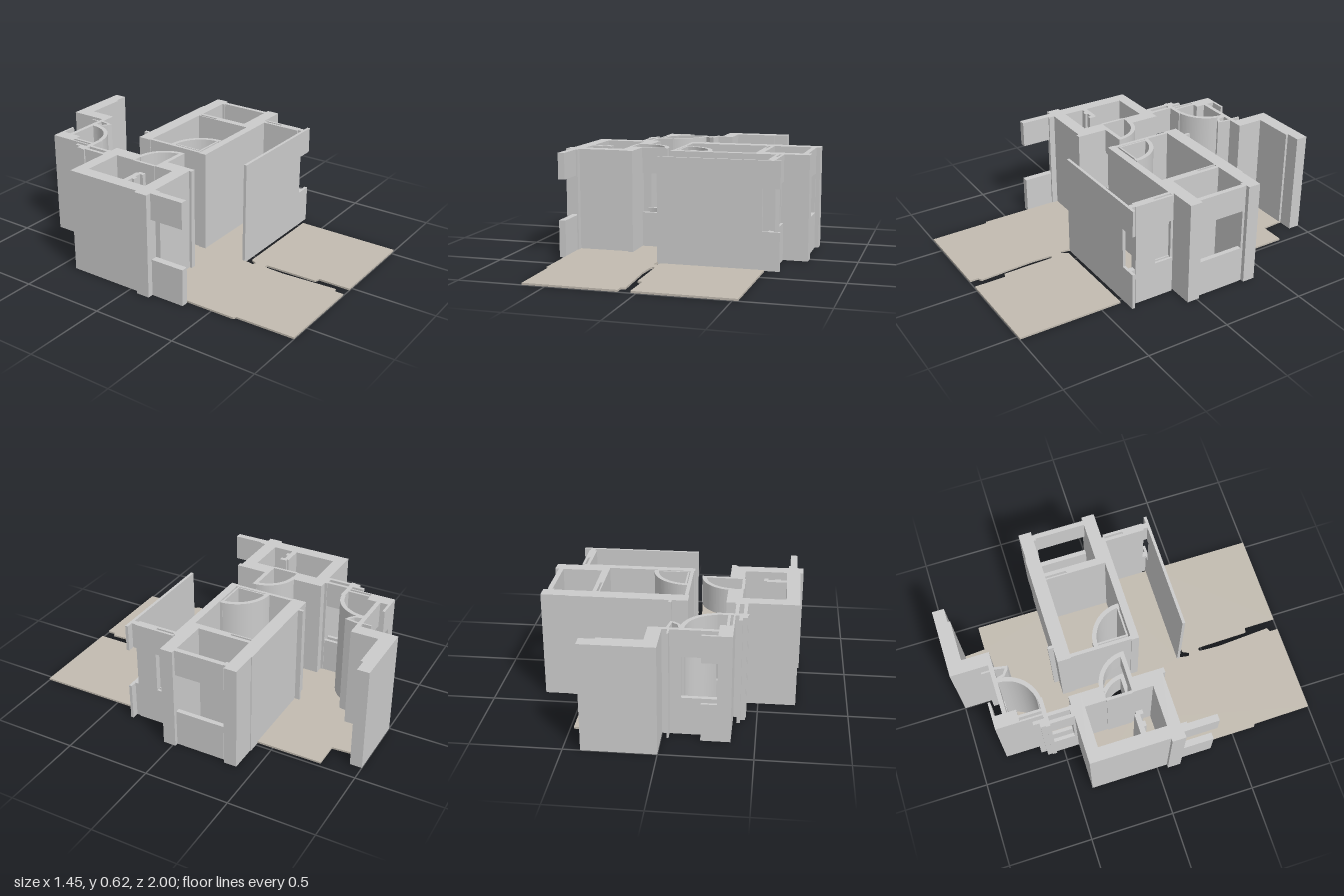
import * as THREE from 'three';

const H = 0.615, SILL = 0.22, HEAD = 0.46;
const wallMat = new THREE.MeshStandardMaterial({ color: 0xcccccc });
const floorMat = new THREE.MeshStandardMaterial({ color: 0xc2bbb0 });

// Vertical prism over a plan shape drawn in (x, z)
function prism(shape, y0, y1, mat = wallMat) {
  const g = new THREE.ExtrudeGeometry(shape, { depth: y1 - y0, bevelEnabled: false, curveSegments: 14 });
  g.rotateX(Math.PI / 2);
  g.translate(0, y1, 0);
  return new THREE.Mesh(g, mat);
}
const outline = pts => new THREE.Shape(pts.map(([x, z]) => new THREE.Vector2(x, z)));
const rect = (x0, z0, x1, z1) => outline([[x0, z0], [x1, z0], [x1, z1], [x0, z1]]);

// Quarter ring, opening towards -z from its centre
function quarter(cx, cz, inner, outer) {
  const s = new THREE.Shape();
  s.absarc(cx, cz, outer, 0, Math.PI / 2, false);
  s.absarc(cx, cz, inner, Math.PI / 2, 0, true);
  return s;
}
function quarterBack(cx, cz, inner, outer) {
  const s = new THREE.Shape();
  s.absarc(cx, cz, outer, -Math.PI / 2, 0, false);
  s.absarc(cx, cz, inner, 0, -Math.PI / 2, true);
  return s;
}

export function createModel() {
  const model = new THREE.Group();

  const solid = (name, shape) => {
    const m = prism(shape, 0, H);
    m.name = name;
    model.add(m);
  };
  // Wall with an opening between sill and head
  const windowed = (name, shape) => {
    const g = new THREE.Group();
    g.name = name;
    g.add(prism(shape, 0, SILL), prism(shape, HEAD, H));
    g.children[0].name = 'sill';
    g.children[1].name = 'lintel';
    model.add(g);
  };

  // Floor slab with the gaps between the terraces
  const floor = outline([
    [0.05, -0.95], [0.32, -0.93], [0.33, -0.79], [0.48, -0.79], [0.48, -0.4], [0.68, -0.39],
    [0.68, -0.01], [0.53, 0], [0.53, 0.345], [-0.09, 0.345], [-0.1, 0.41], [-0.08, 0.42], [-0.06, 0.38],
    [0.53, 0.38], [0.53, 1], [-0.03, 1], [-0.03, 0.81], [-0.06, 0.8], [-0.065, 0.49], [-0.08, 0.48],
    [-0.09, 0.49], [-0.095, 0.61], [-0.075, 0.94], [-0.1, 0.95], [-0.1, 1], [-0.63, 1],
    [-0.635, 0.65], [-0.65, 0.64], [-0.65, -0.35], [-0.37, -0.37], [-0.37, -0.56],
    [-0.305, -0.57], [-0.3, -0.76], [0.05, -0.76]]);
  const hole = new THREE.Path();
  hole.moveTo(-0.38, -0.05);
  hole.lineTo(-0.38, -0.21);
  hole.lineTo(-0.34, -0.21);
  hole.absarc(-0.34, -0.05, 0.165, -Math.PI / 2, 0, false);
  floor.holes.push(hole);
  const slab = prism(floor, 0.001, 0.012, floorMat);
  slab.name = 'floor';
  model.add(slab);

  const solids = {
    // back right room
    backRoomWall: [[0, -1, 0.32, -0.915], [0.32, -1, 0.405, -0.93], [0, -0.915, 0.075, -0.755]],
    // curved bay
    bayWall: [[-0.37, -0.84, -0.295, -0.7], [-0.345, -0.7, -0.33, -0.57], [-0.37, -0.7, -0.36, -0.57],
      [-0.1, -0.78, 0.01, -0.755], [-0.04, -0.83, -0.03, -0.76], [-0.32, -0.75, -0.295, -0.7]],
    bayStep: [[-0.44, -0.57, -0.36, -0.545], [-0.41, -0.635, -0.39, -0.57], [-0.435, -0.6, -0.41, -0.57]],
    // left block
    leftBlockWall: [[-0.71, -0.405, -0.31, -0.335], [-0.71, -0.335, -0.635, 0.07], [-0.73, 0.06, -0.32, 0.135],
      [-0.73, 0.125, -0.65, 0.14], [-0.395, -0.335, -0.31, -0.21], [-0.4, -0.21, -0.383, -0.06],
      [-0.395, -0.06, -0.31, 0.135], [-0.655, 0.135, -0.645, 0.17], [-0.34, 0.1, -0.31, 0.15],
      [-0.43, -0.42, -0.36, -0.4]],
    leftBlockPier: [[-0.635, -0.09, -0.52, -0.06], [-0.6, -0.06, -0.57, -0.045], [-0.53, -0.08, -0.505, -0.04]],
    // right block
    rightBlockWall: [[-0.1, -0.405, 0.56, -0.325], [0.56, -0.4, 0.72, -0.325], [-0.095, -0.325, -0.075, 0.03],
      [-0.1, 0.03, 0.56, 0.075], [0.4, -0.325, 0.408, 0.03], [0.42, -0.325, 0.442, 0], [0.408, -0.2, 0.42, 0.03],
      [0.41, -0.015, 0.72, 0.06], [-0.012, -0.435, 0.005, -0.4], [0.66, -0.325, 0.695, -0.31]],
    rightScreen: [[-0.06, 0.01, 0.135, 0.02], [-0.07, -0.17, -0.06, 0.02]],
    // front panel and its end post
    frontPanel: [[-0.095, 0.335, 0.51, 0.352]],
    endPost: [[0.53, 0.185, 0.575, 0.31], [0.53, 0.07, 0.54, 0.19]],
  };
  for (const [name, list] of Object.entries(solids)) for (const r of list) solid(name, rect(...r));

  const openings = {
    backWindow: [[-0.3, -0.78, -0.1, -0.755]],
    bayWindow: [[-0.295, -0.84, -0.21, -0.825], [-0.36, -0.57, -0.27, -0.545]],
    sideWindow: [[-0.43, -0.545, -0.41, -0.42], [-0.385, -0.545, -0.365, -0.42]],
    leftFrontWindow: [[-0.695, 0.14, -0.655, 0.345]],
    hallWindow: [[-0.31, -0.06, -0.15, -0.035]],
    rightWindow: [[0.67, -0.31, 0.698, -0.015]],
    frontPanelWindow: [[0.51, 0.335, 0.61, 0.352]],
    endPostWindow: [[0.54, 0.07, 0.548, 0.185], [0.56, 0.07, 0.575, 0.185], [0.54, 0.31, 0.57, 0.335]],
  };
  for (const [name, list] of Object.entries(openings)) for (const r of list) windowed(name, rect(...r));

  // Curved screens
  const bay = new THREE.Shape();
  bay.absarc(-0.295, -0.755, 0.205, 0, 1.45, false);
  bay.absarc(-0.295, -0.755, 0.18, 1.45, 0, true);
  solid('bayCurve', bay);
  windowed('hallCurve', quarterBack(-0.34, -0.04, 0.165, 0.19));
  solid('rightCurve', quarterBack(-0.075, 0.025, 0.185, 0.21));

  // Small angled fin beside the bay
  solid('bayFin', outline([[-0.1, -0.755], [-0.085, -0.755], [-0.075, -0.715], [-0.045, -0.695],
    [-0.035, -0.755], [-0.02, -0.755], [-0.035, -0.675], [-0.06, -0.685], [-0.09, -0.71]]));

  return model;
}
